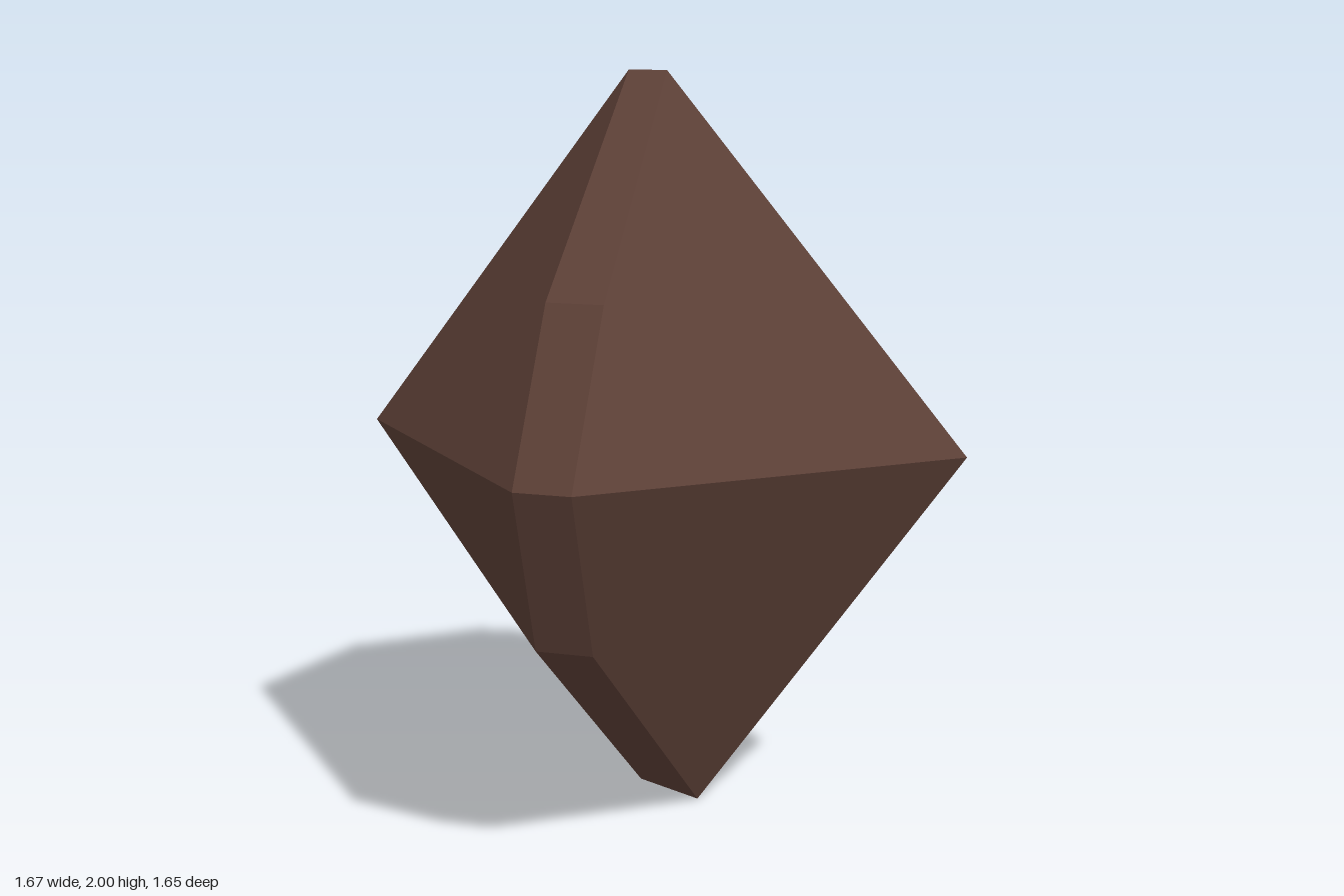
import * as THREE from 'three';

// Ridge running from bottom to top over the front: [x on the -x side, x on the +x side, y -x, y +x, z]
const RIDGE = [
  [-0.055, 0.11, 0.04, 0, 0],
  [-0.105, 0.045, 0.61, 0.61, 0.68],
  [-0.105, 0.045, 1.045, 1.045, 0.825],
  [-0.105, 0.045, 1.465, 1.465, 0.585],
  [-0.085, 0.02, 2, 2, 0],
];
const TIP_X = 0.835, TIP_Y = 1.02;

// Flat-shaded faces from polygons; each is a fan around its first corner with one shared normal
function facets(polygons) {
  const position = [], normal = [];
  for (const p of polygons) {
    const n = new THREE.Vector3();
    for (let i = 1; i < p.length - 1; i++) {
      const a = p[i].clone().sub(p[0]), b = p[i + 1].clone().sub(p[0]);
      n.add(a.cross(b));
    }
    n.normalize();
    for (let i = 1; i < p.length - 1; i++) {
      for (const v of [p[0], p[i], p[i + 1]]) {
        position.push(v.x, v.y, v.z);
        normal.push(n.x, n.y, n.z);
      }
    }
  }
  const g = new THREE.BufferGeometry();
  g.setAttribute('position', new THREE.Float32BufferAttribute(position, 3));
  g.setAttribute('normal', new THREE.Float32BufferAttribute(normal, 3));
  return g;
}

export function createModel() {
  const group = new THREE.Group();
  group.name = 'facetedRock';
  const brown = new THREE.MeshStandardMaterial({ color: 0x5d4037 });
  brown.name = 'darkBrown';

  const strips = [], sides = [];
  for (const s of [1, -1]) {
    // The back mirrors the front, with the corner order reversed
    const add = (list, corners) => list.push(s > 0 ? corners : corners.reverse());
    const a = RIDGE.map(r => new THREE.Vector3(r[0], r[2], s * r[4]));
    const b = RIDGE.map(r => new THREE.Vector3(r[1], r[3], s * r[4]));
    const tipA = new THREE.Vector3(-TIP_X, TIP_Y, 0);
    const tipB = new THREE.Vector3(TIP_X, TIP_Y, 0);

    // Narrow ridge
    for (let i = 0; i < 4; i++) add(strips, [a[i], b[i], b[i + 1], a[i + 1]]);

    // Large facets below and above the waist, fanned from the side tips
    for (const k of [0, 2]) {
      const fanA = [tipA, a[k], a[k + 1], a[k + 2]];
      const fanB = [tipB, b[k + 2], b[k + 1], b[k]];
      for (const [tip, ...rest] of [fanA, fanB]) {
        sides.push([tip, ...(s > 0 ? rest : rest.reverse())]);
      }
    }
  }

  for (const [name, list] of [['ridge', strips], ['sideFacets', sides]]) {
    const mesh = new THREE.Mesh(facets(list), brown);
    mesh.name = name;
    group.add(mesh);
  }
  return group;
}
